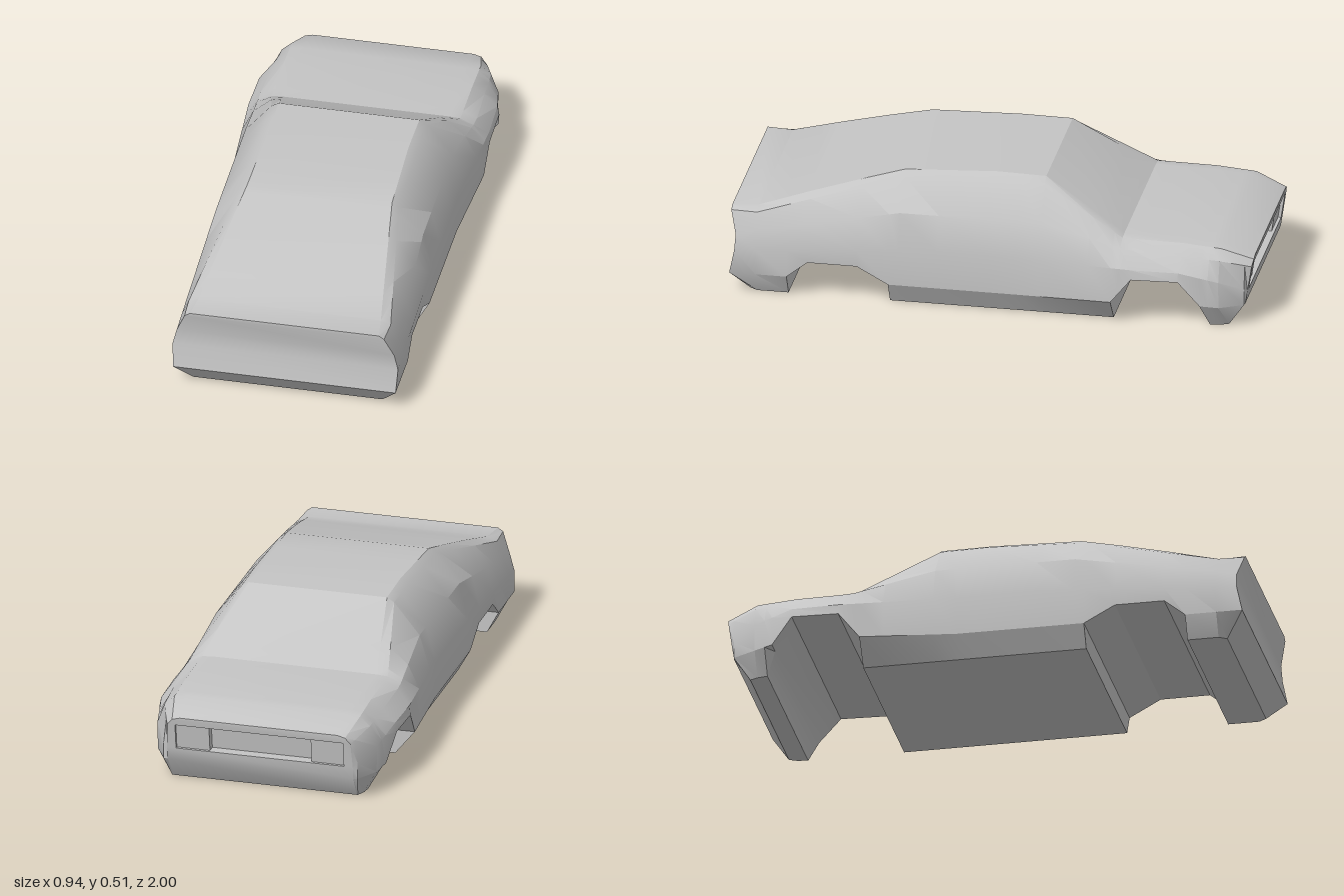
import * as THREE from 'three';
import { toCreasedNormals } from 'three/addons/utils/BufferGeometryUtils.js';

// Straight-line curve along the car, from a few [z, value] keys running tail to nose
const curve = (...keys) => (z) => {
  let i = 1;
  while (i < keys.length - 1 && z < keys[i][0]) i++;
  const [z0, v0] = keys[i - 1], [z1, v1] = keys[i];
  return THREE.MathUtils.mapLinear(z, z0, z1, v0, v1);
};

// Roof, fastback, windscreen and bonnet
const topY = curve([1, .338], [.9, .34], [.61, .43], [.35, .5], [0, .515], [-.19, .512], [-.5, .325], [-.73, .325], [-.88, .315], [-1, .272]);
const topX = curve([1, .365], [.35, .28], [0, .27], [-.19, .272], [-.5, .32], [-1, .31]);
// Rounded rail beside the roof
const railX = curve([1, .385], [.9, .39], [.35, .305], [-.19, .3], [-.5, .365], [-.88, .365], [-1, .34]);
const railDrop = curve([1, .013], [.7, .02], [-.19, .017], [-.5, .003], [-1, .008]);
// Belt line under the side windows
const beltX = curve([1, .42], [.35, .4], [-.19, .4], [-.55, .418], [-.88, .404], [-1, .36]);
const beltY = curve([1, .24], [.35, .37], [-.19, .372], [-.5, .3], [-.88, .273], [-1, .24]);
// Waist, flared over the front wheels
const waistX = curve([1, .435], [-.1, .435], [-.55, .464], [-.73, .46], [-.88, .432], [-1, .365]);
const waistY = curve([1, .18], [.2, .235], [-.73, .235], [-.88, .195], [-1, .14]);
// Sill, following both wheel arches
const sillX = curve([1, .43], [-.1, .435], [-.55, .468], [-.73, .467], [-.88, .43], [-1, .365]);
const sillY = curve([1, .085], [.78, .085], [.7, .15], [.51, .15], [.39, .085], [-.1, .085], [-.47, .095], [-.55, .196], [-.73, .2], [-.81, .1], [-.88, .09], [-1, .09]);
const floorX = curve([1, .365], [.9, .385], [-.84, .385], [-1, .36]);

// How far each edge reaches at the tail and nose
const TAIL = [1, 1, .977, .98, 1, .93];
const NOSE = [-1, -1, -.995, -.98, -.972, -.91];

// Loft stations: every second run is a wheel channel with a raised floor
const RUNS = [
  [1, .9, .78],
  [.78, .7, .51, .39],
  [.39, .35, .2, 0, -.1, -.19, -.38, -.47],
  [-.47, -.5, -.55, -.73, -.81],
  [-.84, -.88, -.97, -1],
];

// Half cross-section from roof edge to underside
const section = (z, inArch) => [
  [topX(z), topY(z)],
  [railX(z), topY(z) - railDrop(z)],
  [beltX(z), beltY(z)],
  [waistX(z), waistY(z)],
  [sillX(z), sillY(z)],
  [floorX(z), inArch ? sillY(z) : 0],
].map(([x, y], k) => new THREE.Vector3(x, y, THREE.MathUtils.clamp(z, NOSE[k], TAIL[k])));

const halves = RUNS.flatMap((run, r) => run.map((z) => section(z, r % 2 === 1)));
const mirror = (p) => new THREE.Vector3(-p.x, p.y, p.z);

// Collects quads, skipping collapsed triangles
function makeSurface() {
  const pos = [];
  const tri = (a, b, c) => {
    const area = b.clone().sub(a).cross(c.clone().sub(a)).length();
    if (area > 1e-8) for (const p of [a, b, c]) pos.push(p.x, p.y, p.z);
  };
  return {
    quad(a, b, c, d) { tri(a, b, c); tri(a, c, d); },
    mesh(name, material) {
      const g = new THREE.BufferGeometry();
      g.setAttribute('position', new THREE.Float32BufferAttribute(pos, 3));
      const m = new THREE.Mesh(toCreasedNormals(g, 0.45), material);
      m.name = name;
      return m;
    },
  };
}

// Lofted shell, including the two wheel channels across the underside
function makeShell(material) {
  const s = makeSurface();
  const rings = halves.map((h) => [...h, ...h.map(mirror).reverse()]);
  const n = rings[0].length;
  for (let i = 0; i < rings.length - 1; i++) {
    for (let k = 0; k < n; k++) {
      const j = (k + 1) % n;
      s.quad(rings[i][k], rings[i][j], rings[i + 1][j], rings[i + 1][k]);
    }
  }
  return s.mesh('bodyShell', material);
}

// Concave tail panel
function makeTail(material) {
  const s = makeSurface();
  const h = halves[0];
  for (let k = 0; k < h.length - 1; k++) s.quad(mirror(h[k]), mirror(h[k + 1]), h[k + 1], h[k]);
  return s.mesh('tailPanel', material);
}

// Nose panel with a deep grille opening between two shallow lamp pockets
function makeNose(material) {
  const s = makeSurface();
  const h = halves[halves.length - 1];
  const beltRow = 2;
  for (let k = 0; k < h.length - 1; k++) {
    if (k !== beltRow) s.quad(h[k], h[k + 1], mirror(h[k + 1]), mirror(h[k]));
  }
  const top = h[beltRow], low = h[beltRow + 1];
  const xs = [-1, -.33, -.2, .2, .33, 1];
  const depths = [0, .012, .045, .012, 0];
  const at = (x, v, depth) => {
    const p = top.clone().lerp(low, v);
    p.x = THREE.MathUtils.clamp(x, -p.x, p.x);
    p.z += depth;
    return p;
  };
  depths.forEach((d, i) => {
    const a = xs[i], b = xs[i + 1];
    s.quad(at(b, 0, d), at(b, 1, d), at(a, 1, d), at(a, 0, d));
    s.quad(at(a, 0, 0), at(b, 0, 0), at(b, 0, d), at(a, 0, d));
    s.quad(at(a, 1, d), at(b, 1, d), at(b, 1, 0), at(a, 1, 0));
    if (i < depths.length - 1) {
      const e = depths[i + 1];
      s.quad(at(b, 0, e), at(b, 1, e), at(b, 1, d), at(b, 0, d));
    }
  });
  return s.mesh('nosePanel', material);
}

export function createModel() {
  const grey = new THREE.MeshStandardMaterial({ color: 0xc4c4c4 });
  grey.name = 'bodyGrey';
  const car = new THREE.Group();
  car.name = 'carBody';
  car.add(makeShell(grey), makeTail(grey), makeNose(grey));
  return car;
}
